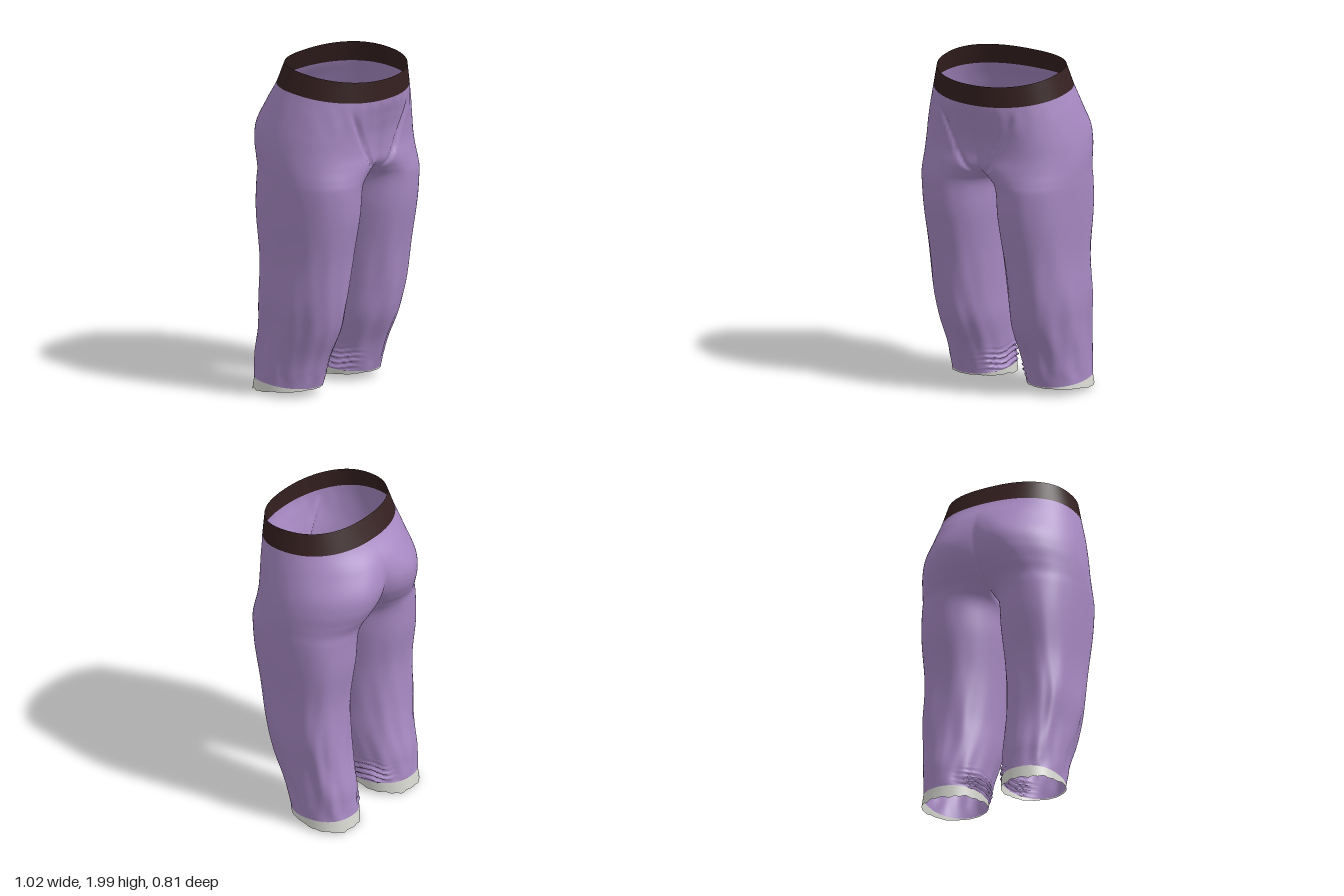
import * as THREE from 'three';
import { mergeVertices } from 'three/addons/utils/BufferGeometryUtils.js';

// Cross-sections of one leg, top to bottom:
// [front y, back y, outer x, inner x (front), inner x (back), front z, back z,
//  squareness of the outer front corner, of the outer back corner]
// A negative inner x means the section runs into its mirror image at x = 0.
const SECTIONS = [
  [1.93, 2.0, 0.39, -0.39, -0.39, 0.4, -0.22, 2.15, 2.4],
  [1.808, 1.872, 0.425, -0.425, -0.425, 0.403, -0.275, 2.15, 2.25],
  [1.7, 1.75, 0.46, -0.39, -0.33, 0.375, -0.355, 2.4, 1.85],
  [1.6, 1.62, 0.488, -0.32, -0.2, 0.352, -0.402, 2.5, 1.78],
  [1.5, 1.52, 0.502, -0.25, -0.15, 0.347, -0.396, 2.4, 1.8],
  [1.42, 1.43, 0.507, -0.18, -0.1, 0.357, -0.36, 2.25, 1.9],
  [1.35, 1.36, 0.506, -0.06, -0.05, 0.36, -0.325, 2.2, 2.1],
  [1.28, 1.28, 0.503, 0.008, 0.008, 0.36, -0.313, 2.2, 2.3],
  [1.1, 1.1, 0.49, 0.022, 0.022, 0.345, -0.3, 2.3, 2.8],
  [0.85, 0.85, 0.472, 0.045, 0.045, 0.298, -0.265, 2.35, 3.3],
  [0.6, 0.6, 0.473, 0.058, 0.058, 0.26, -0.268, 2.1, 3.5],
  [0.42, 0.42, 0.455, 0.062, 0.062, 0.218, -0.283, 2.0, 3.3],
  [0.25, 0.26, 0.443, 0.078, 0.078, 0.143, -0.315, 2.0, 2.9],
  [0.15, 0.17, 0.44, 0.085, 0.085, 0.108, -0.325, 2.05, 2.6],
  [0.06, 0.09, 0.44, 0.083, 0.083, 0.08, -0.335, 2.1, 2.4],
  [0.052, 0.012, 0.445, 0.085, 0.085, 0.077, -0.345, 2.1, 2.4],
];
const WAIST = 1, CROTCH = 6, CUFF = 14, HEM = 15;
const SUB = 8, OUTER = 96, INNER = 32, LOOP = OUTER + INNER;
const N_INNER = 2.08;

// Smooth interpolation down the table; straight inside the waistband and cuff
function sectionAt(v) {
  const i = Math.min(Math.floor(v), HEM - 1), t = v - i;
  const straight = i < WAIST || i >= CUFF;
  const row = (k) => SECTIONS[THREE.MathUtils.clamp(k, 0, HEM)];
  return row(i).map((p1, c) => {
    const p2 = row(i + 1)[c];
    if (straight) return p1 + (p2 - p1) * t;
    const p0 = row(i - 1)[c], p3 = row(i + 2)[c];
    const m1 = (p2 - p0) / 2, m2 = (p3 - p1) / 2, t2 = t * t, t3 = t2 * t;
    return (2 * t3 - 3 * t2 + 1) * p1 + (t3 - 2 * t2 + t) * m1 + (3 * t2 - 2 * t3) * p2 + (t3 - t2) * m2;
  });
}

// Angle, from the inner point, at which the section meets x = 0
function seamAngle(outerX, innerX) {
  const ratio = THREE.MathUtils.clamp((outerX + innerX) / (outerX - innerX), 0, 1);
  return Math.acos(Math.pow(ratio, N_INNER / 2));
}

const bump = (d, w) => Math.exp(-(d * d) / (w * w));
const smooth = THREE.MathUtils.smoothstep;

// One closed loop: outer arc from the front seam to the back, then the inner arc
function ring(v) {
  const [yF, yB, xO, xIF, xIB, zF, zB, nF, nB] = sectionAt(v);
  const top = sectionAt(Math.min(v, CROTCH));
  const phiF = seamAngle(top[2], top[3]), phiB = seamAngle(top[2], top[4]);
  const minX = THREE.MathUtils.clamp((v - CROTCH) * 0.02, 0, 0.006);
  const points = [];
  for (let j = 0; j < LOOP; j++) {
    const phi = j <= OUTER
      ? phiF + (2 * Math.PI - phiB - phiF) * j / OUTER
      : 2 * Math.PI - phiB + (phiB + phiF) * (j - OUTER) / INNER;
    const c = Math.cos(phi), s = Math.sin(phi), front = s >= 0;
    const n = c > 0 ? N_INNER : front ? nF : nB, xI = front ? xIF : xIB;
    const px = Math.sign(c) * Math.pow(Math.abs(c), 2 / n);
    const pz = Math.sign(s) * Math.pow(Math.abs(s), 2 / n);
    let x = (xO + xI) / 2 - px * (xO - xI) / 2;
    let z = (zF + zB) / 2 + pz * (zF - zB) / 2;
    const toFront = (z - zB) / (zF - zB);
    // The waistband rises a little over the hips
    let y = yB + (yF - yB) * toFront + 0.07 * toFront * (1 - toFront) * (1 - smooth(v, WAIST, 3));

    if (v > WAIST && v < CUFF) {
      // Long soft folds, strongest towards the ankles
      const away = smooth(x, 0.02, 0.15) * smooth(v, WAIST, WAIST + 1);
      const amount = away * (0.0008 + 0.0035 * smooth(1.2 - y, 0, 0.9)) * smooth(y, 0.06, 0.15);
      const fold = amount * (Math.sin(phi * 8 + y * 6) + 0.5 * Math.sin(phi * 13 - y * 8));
      x -= c * fold;
      z += s * fold;
      // Creases running from the hips to the crotch
      if (front && y > 1.36) {
        const line = 0.02 + 0.25 * Math.pow((y - 1.35) / 0.45, 0.75);
        z -= 0.016 * bump(x - line, 0.018) * smooth(y, 1.36, 1.42) * (1 - smooth(y, 1.66, 1.8));
        z += 0.002 * Math.sin(x * 75) * smooth(y, 1.6, 1.72) * (1 - smooth(y, 1.76, 1.81));
      }
      // Bunched cloth on the inside of the ankle
      const bunch = smooth(c, 0.35, 0.9) * bump(y - 0.13, 0.06);
      x += bunch * 0.016 * Math.sin(y * 190 + Math.sin(phi * 6) * 1.5);
    }
    // Uneven hem, calmer at the front
    if (v === HEM) y += (1 - 0.8 * toFront) * (0.005 * Math.sin(phi * 7) + 0.004 * Math.sin(phi * 17));
    const onSeam = v <= CROTCH && (j === 0 || j >= OUTER);
    points.push(onSeam ? 0 : Math.max(x, minX), y, z);
  }
  return points;
}

// Skin between two table rows, built for the left side and mirrored to the right
function garmentStrip(from, to, sub) {
  const positions = [], index = [], rows = (to - from) * sub;
  for (const side of [1, -1]) {
    const base = positions.length / 3;
    for (let i = 0; i <= rows; i++) {
      const loop = ring(from + i / sub);
      for (let j = 0; j < LOOP; j++) positions.push(loop[j * 3] * side, loop[j * 3 + 1], loop[j * 3 + 2]);
    }
    for (let i = 0; i < rows; i++) {
      const count = from + i / sub < CROTCH ? OUTER : LOOP;
      for (let j = 0; j < count; j++) {
        const a = base + i * LOOP + j, b = base + i * LOOP + (j + 1) % LOOP;
        const c = a + LOOP, d = b + LOOP;
        if (side > 0) index.push(a, c, b, b, c, d);
        else index.push(a, b, c, b, d, c);
      }
    }
  }
  let geometry = new THREE.BufferGeometry();
  geometry.setAttribute('position', new THREE.Float32BufferAttribute(positions, 3));
  geometry.setIndex(index);
  geometry = mergeVertices(geometry, 1e-5);
  geometry.computeVertexNormals();
  return geometry;
}

function material(name, color) {
  const m = new THREE.MeshStandardMaterial({ color, side: THREE.DoubleSide });
  m.name = name;
  return m;
}

export function createModel() {
  const group = new THREE.Group();
  group.name = 'trousers';
  const add = (name, geometry, mat) => {
    const mesh = new THREE.Mesh(geometry, mat);
    mesh.name = name;
    group.add(mesh);
  };
  add('waistband', garmentStrip(0, WAIST, 2), material('dark brown', 0x352020));
  add('trouserLegs', garmentStrip(WAIST, CUFF, SUB), material('lilac cloth', 0xa88ac4));
  add('cuffs', garmentStrip(CUFF, HEM, 2), material('off white', 0xd9d9d3));
  return group;
}
